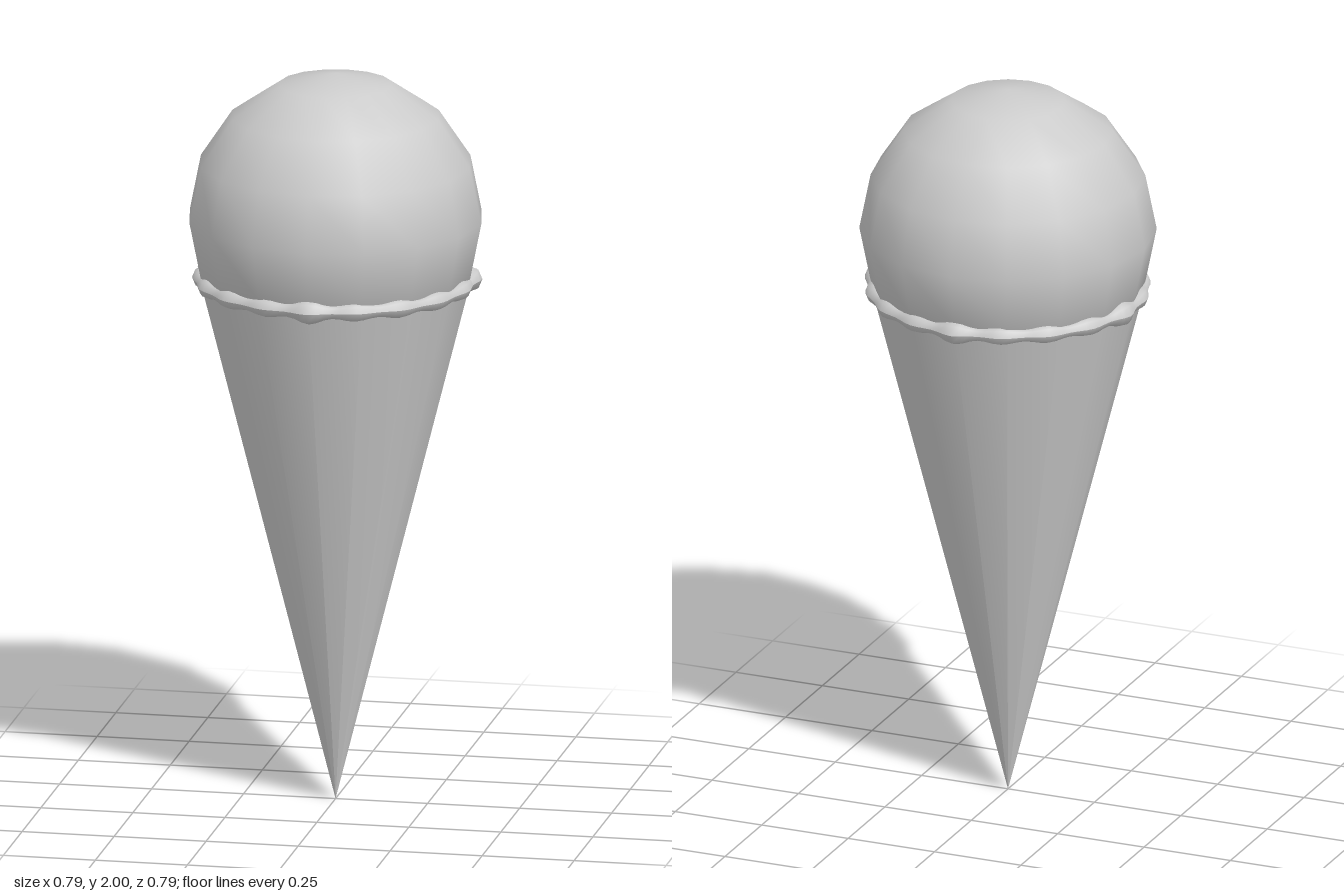
import * as THREE from 'three';

const material = new THREE.MeshStandardMaterial({ color: 0xcccccc });
const SIDES = 16;

function part(group, name, geometry, y) {
  const mesh = new THREE.Mesh(geometry, material);
  mesh.name = name;
  mesh.position.y = y;
  group.add(mesh);
}

// Thin ring whose tube swells into uneven beads along its length
function beadedRing(radius, tube) {
  const geometry = new THREE.TorusGeometry(radius, tube, 8, 108);
  geometry.rotateX(Math.PI / 2);
  const pos = geometry.attributes.position;
  const bigBeads = [0, 100, -100, 180].map(THREE.MathUtils.degToRad);
  for (let i = 0; i < pos.count; i++) {
    const x = pos.getX(i), z = pos.getZ(i);
    const angle = Math.atan2(x, z);
    let swell = 1 + 0.2 * Math.cos(18 * angle);
    for (const a of bigBeads) {
      const d = Math.atan2(Math.sin(angle - a), Math.cos(angle - a));
      swell += 0.4 * Math.exp(-((d / 0.1) ** 2));
    }
    const r = radius + (Math.hypot(x, z) - radius) * swell;
    pos.setXYZ(i, r * Math.sin(angle), pos.getY(i) * swell, r * Math.cos(angle));
  }
  geometry.computeVertexNormals();
  return geometry;
}

export function createModel() {
  const group = new THREE.Group();
  group.name = 'iceCream';

  // Wafer cone, point down
  const cone = new THREE.ConeGeometry(0.366, 1.44, SIDES, 1);
  cone.rotateX(Math.PI);
  part(group, 'cone', cone, 0.72);

  // Scoop resting in the cone
  part(group, 'scoop', new THREE.SphereGeometry(0.396, SIDES, SIDES / 2), 1.604);

  // Melted rim where scoop and cone meet
  part(group, 'meltedRim', beadedRing(0.356, 0.022), 1.435);

  return group;
}
